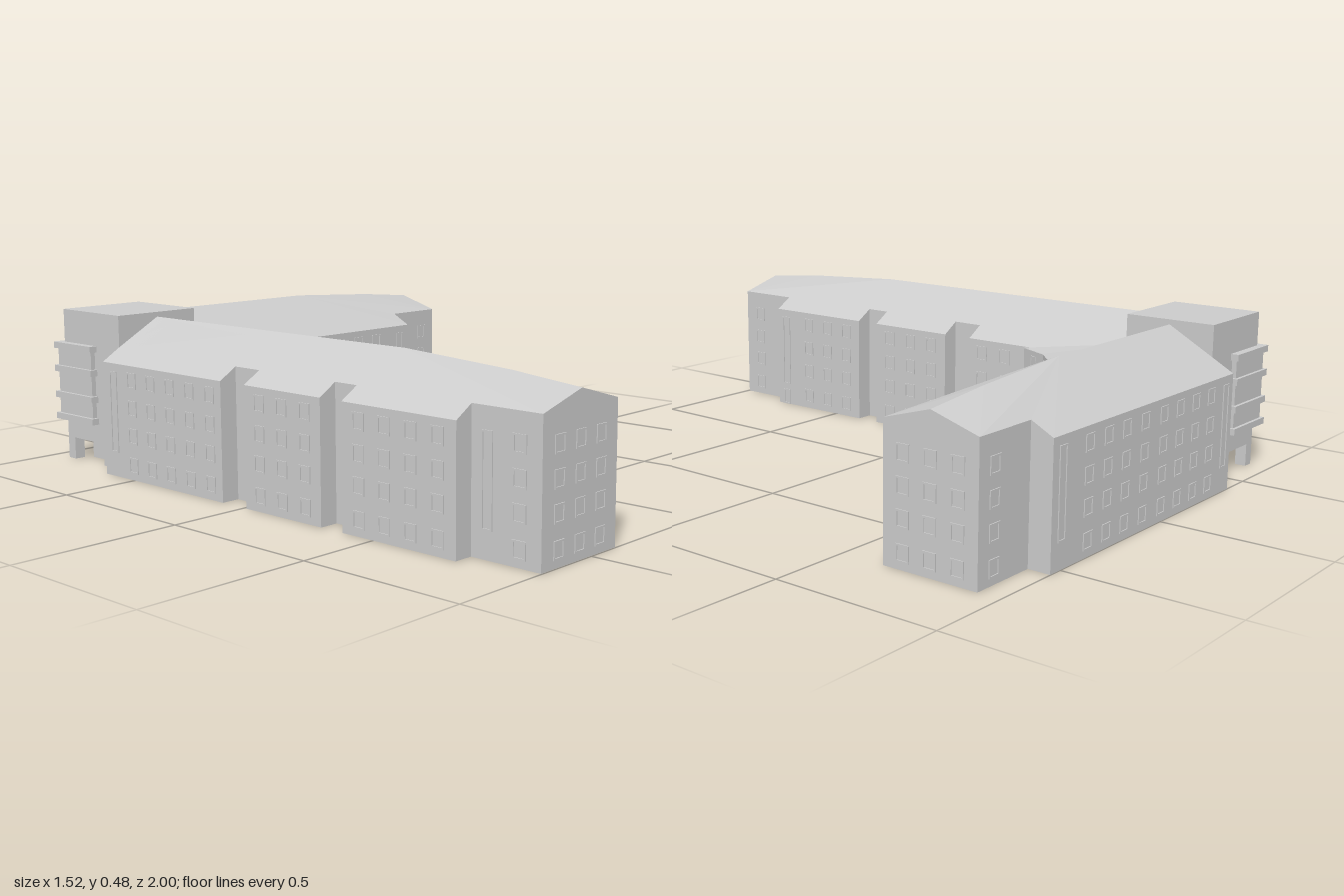
import * as THREE from 'three';
import { ConvexGeometry } from 'three/addons/geometries/ConvexGeometry.js';

const mat = new THREE.MeshStandardMaterial({ color: 0xcccccc, flatShading: true, side: THREE.DoubleSide });
const ROWS = [0.045, 0.135, 0.22, 0.305];
const EAVE = 0.385, LOW_EAVE = 0.35;

function add(parent, geometry, name) {
  const m = new THREE.Mesh(geometry, mat);
  m.name = name;
  parent.add(m);
  return m;
}

function box(parent, name, x0, x1, y0, y1, z0, z1) {
  const m = add(parent, new THREE.BoxGeometry(x1 - x0, y1 - y0, z1 - z0), name);
  m.position.set((x0 + x1) / 2, (y0 + y1) / 2, (z0 + z1) / 2);
  return m;
}

// Thin raised frame facing +z
function frameGeometry(w, h, t = 0.005) {
  const rect = (C, a, b) => {
    const s = new C();
    s.moveTo(-a, -b); s.lineTo(a, -b); s.lineTo(a, b); s.lineTo(-a, b); s.closePath();
    return s;
  };
  const shape = rect(THREE.Shape, w / 2, h / 2);
  shape.holes.push(rect(THREE.Path, w / 2 - t, h / 2 - t));
  return new THREE.ExtrudeGeometry(shape, { depth: 0.003, bevelEnabled: false });
}
const windowGeo = frameGeometry(0.042, 0.048);
const narrowGeo = frameGeometry(0.032, 0.048);
const stairGeo = frameGeometry(0.035, 0.25);
const doorGeo = frameGeometry(0.032, 0.055);

function place(parent, geo, name, x, y, z, ry) {
  const m = add(parent, geo, name);
  m.position.set(x, y, z);
  m.rotation.y = ry;
}

function column(parent, x, z, ry, geo = windowGeo) {
  for (const y of ROWS) place(parent, geo, 'window', x, y, z, ry);
}

// Ridge height along a wing
function ridgeAt(ridge, s) {
  for (let i = 1; i < ridge.length; i++) {
    const [a, ya] = ridge[i - 1], [b, yb] = ridge[i];
    if (s <= b) return ya + (yb - ya) * (s - a) / (b - a);
  }
  return ridge[ridge.length - 1][1];
}

// Gabled block running along local z from s0 to s1
function block(parent, name, ridge, s0, s1, half, wideHalf) {
  const stations = [s0, ...ridge.map(r => r[0]).filter(s => s > s0 && s < s1), s1];
  const pts = [];
  for (const s of stations) {
    pts.push(new THREE.Vector3(0, ridgeAt(ridge, s), s));
    for (const k of [-1, 1]) {
      const w = wideHalf || half;
      pts.push(new THREE.Vector3(k * w, 0, s), new THREE.Vector3(k * half, EAVE, s));
      if (wideHalf) pts.push(new THREE.Vector3(k * w, LOW_EAVE, s));
    }
  }
  add(parent, new ConvexGeometry(pts), name);
}

function makeWing(o) {
  const g = new THREE.Group();
  g.name = o.name;
  block(g, 'narrowBody', o.ridge, o.start, o.end, o.half);
  for (const [a, b] of o.bays) block(g, 'wideBay', o.ridge, a, b, o.half, o.wide);
  // Windows on the long sides: [position along wing, on wide part]
  for (const k of [-1, 1]) {
    for (const [s, wide] of o.columns[k]) column(g, k * (wide ? o.wide : o.half), s, k * Math.PI / 2);
    for (const [s, wide] of o.stairs[k])
      place(g, stairGeo, 'stairWindow', k * (wide ? o.wide : o.half), 0.2, s, k * Math.PI / 2);
  }
  // Gable end windows and side door
  for (const x of [-0.085, 0, 0.085]) column(g, x, o.end, 0);
  place(g, doorGeo, 'door', o.doorSide * o.wide, 0.0275, o.door, o.doorSide * Math.PI / 2);
  return g;
}

const wides = list => list.map(s => [s, true]);

export function createModel() {
  const model = new THREE.Group();
  model.name = 'cornerBuilding';

  // Long wing running to the front
  const longWing = makeWing({
    name: 'longWing', start: -0.64, end: 0.997, half: 0.153, wide: 0.21,
    ridge: [[-0.64, 0.47], [0.42, 0.47], [0.78, 0.449], [1, 0.428]],
    bays: [[-0.64, -0.09], [0.01, 0.31], [0.39, 0.78]],
    columns: {
      '-1': [...wides([-0.5, -0.41, -0.32, -0.23, -0.14, 0.07, 0.16, 0.25, 0.45, 0.54, 0.63, 0.72]), [0.93, false]],
      '1': [...wides([-0.23, -0.14, 0.07, 0.16, 0.25, 0.45, 0.54, 0.63]), [0.93, false]],
    },
    stairs: { '-1': [[-0.59, true], [0.83, false]], '1': [[0.74, true]] },
    door: 0.74, doorSide: 1,
  });
  longWing.position.x = -0.547;
  model.add(longWing);

  // Back wing running to the side
  const cols = [-0.09, 0, 0.1, 0.195, 0.285, 0.375];
  const backWing = makeWing({
    name: 'backWing', start: -0.4, end: 0.755, half: 0.147, wide: 0.214,
    ridge: [[-0.4, 0.47], [0.2, 0.47], [0.54, 0.449], [0.76, 0.428]],
    bays: [[-0.4, 0.543]],
    columns: {
      '-1': [...wides(cols), [0.69, false]],
      '1': [...wides([-0.27, -0.18, ...cols]), [0.69, false]],
    },
    stairs: { '-1': [[0.497, true]], '1': [[-0.36, true], [0.497, true]] },
    door: 0.497, doorSide: -1,
  });
  backWing.rotation.y = Math.PI / 2;
  backWing.position.z = -0.785;
  model.add(backWing);

  // Faceted inner corner: walls, then a roof fan from the valley point
  const corner = new THREE.Group();
  corner.name = 'innerCorner';
  model.add(corner);
  const curve = [[-0.338, -0.305], [-0.29, -0.41], [-0.18, -0.515], [-0.07, -0.57]];
  const plan = [[-0.4, -0.64], [-0.4, -0.305], ...curve, [-0.07, -0.64]];
  const shape = new THREE.Shape(plan.map(([x, z]) => new THREE.Vector2(x, -z)));
  const walls = new THREE.ExtrudeGeometry(shape, { depth: 0.345, bevelEnabled: false });
  add(corner, walls.rotateX(-Math.PI / 2), 'cornerWalls');
  const rim = [[-0.39, 0.387, -0.305], ...curve.map(([x, z]) => [x, 0.348, z]), [-0.07, 0.387, -0.64]];
  const fan = [];
  for (let i = 0; i < rim.length - 1; i++) fan.push(-0.4, 0.39, -0.64, ...rim[i], ...rim[i + 1]);
  const roof = new THREE.BufferGeometry();
  roof.setAttribute('position', new THREE.Float32BufferAttribute(fan, 3));
  roof.computeVertexNormals();
  add(corner, roof, 'cornerRoof');
  [[0.5], [0.2, 0.5, 0.8], [0.5]].forEach((ts, i) => {
    const [ax, az] = curve[i], [bx, bz] = curve[i + 1];
    const ry = Math.atan2(az - bz, bx - ax);
    for (const t of ts) column(corner, ax + (bx - ax) * t, az + (bz - az) * t, ry, narrowGeo);
  });

  // Corner tower with a recessed entrance at the outer corner
  const tower = new THREE.Group();
  tower.name = 'tower';
  model.add(tower);
  box(tower, 'towerBody', -0.695, -0.4, 0.07, 0.485, -0.93, -0.64);
  box(tower, 'towerBase', -0.64, -0.4, 0, 0.07, -0.875, -0.64);
  box(tower, 'cornerPillar', -0.695, -0.66, 0, 0.07, -0.93, -0.895);
  box(tower, 'backPier', -0.5, -0.4, 0, 0.07, -0.93, -0.87);
  box(tower, 'sidePier', -0.695, -0.63, 0, 0.07, -0.74, -0.64);

  // Glazed corner bay with projecting floor bands
  box(tower, 'bayGlazing', -0.71, -0.53, 0.13, 0.37, -0.945, -0.77);
  for (const y of [0.13, 0.2, 0.285, 0.36])
    box(tower, 'bayBand', -0.72, -0.52, y, y + 0.02, -0.955, -0.76);

  return model;
}
